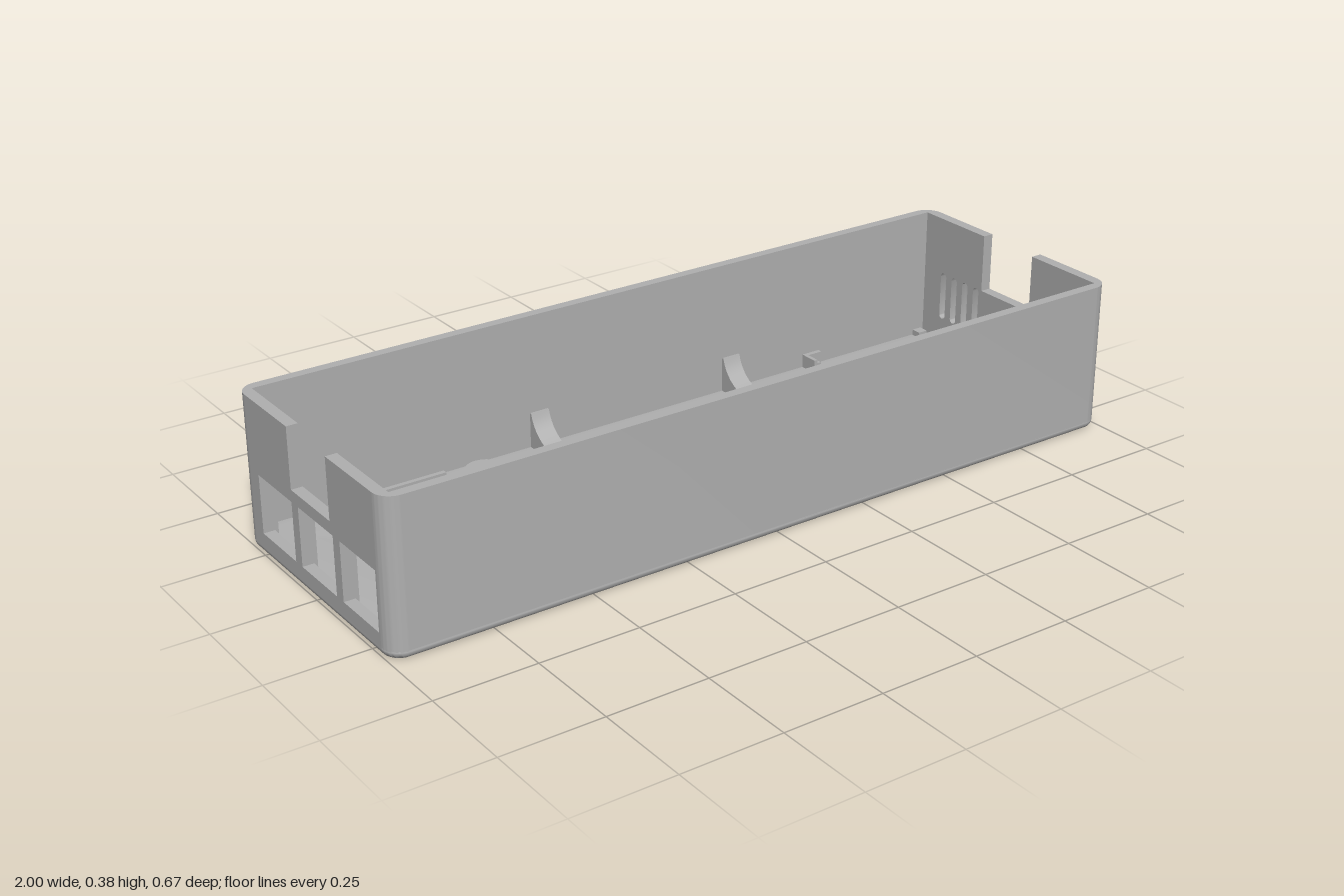
import * as THREE from 'three';
import { toCreasedNormals } from 'three/addons/utils/BufferGeometryUtils.js';

export function createModel() {
  const model = new THREE.Group();
  model.name = 'enclosureBase';
  const grey = new THREE.MeshStandardMaterial({ color: 0xb0b0b0 });
  grey.name = 'grey plastic';

  const add = (name, geometry, x = 0, y = 0, z = 0) => {
    const mesh = new THREE.Mesh(toCreasedNormals(geometry, 0.6), grey);
    mesh.name = name;
    mesh.position.set(x, y, z);
    model.add(mesh);
    return mesh;
  };
  // box given by its limits, standing on the floor
  const block = (name, x0, x1, z0, z1, top, bottom = 0.03) =>
    add(name, new THREE.BoxGeometry(x1 - x0, top - bottom, z1 - z0),
      (x0 + x1) / 2, (top + bottom) / 2, (z0 + z1) / 2);
  const circle = (x, z, r) => new THREE.Path().absarc(x, z, r, 0, Math.PI * 2, true);
  const poly = (pts, Type = THREE.Path) => new Type(pts.map(p => new THREE.Vector2(...p)));

  // floor with rounded lower edge and countersunk screw holes
  const screws = [[-0.44, -0.23], [-0.47, 0.26], [0.51, 0.01], [0.89, 0.15]];
  const X = 1, Z = 0.335, R = 0.045;
  const plan = new THREE.Shape();
  plan.absarc(X - R, Z - R, R, 0, Math.PI / 2);
  plan.absarc(-X + R, Z - R, R, Math.PI / 2, Math.PI);
  plan.absarc(-X + R, -Z + R, R, Math.PI, Math.PI * 1.5);
  plan.absarc(X - R, -Z + R, R, Math.PI * 1.5, Math.PI * 2);
  for (const [x, z] of screws) plan.holes.push(circle(x, z, 0.025));
  add('floor', new THREE.ExtrudeGeometry(plan, {
    depth: 0.004, bevelThickness: 0.018, bevelSize: 0.018, bevelOffset: -0.018,
    bevelSegments: 4, curveSegments: 10,
  }).rotateX(Math.PI / 2), 0, 0.022);

  // long walls with their rounded corners
  const side = new THREE.Shape();
  side.moveTo(0.972, 0.29);
  side.lineTo(X, 0.29);
  side.absarc(X - R, Z - R, R, 0, Math.PI / 2);
  side.absarc(-X + R, Z - R, R, Math.PI / 2, Math.PI);
  side.lineTo(-0.972, 0.29);
  side.lineTo(-0.972, 0.31);
  side.lineTo(0.972, 0.31);
  for (const name of ['frontWall', 'backWall']) {
    const wall = add(name, new THREE.ExtrudeGeometry(side, {
      depth: 0.36, bevelEnabled: false, curveSegments: 10,
    }).rotateX(Math.PI / 2), 0, 0.38);
    if (name === 'backWall') wall.rotation.y = Math.PI;
  }

  // end walls: notched panels with cut-outs, drawn in (-z, y)
  const rect = (z0, z1, y0, y1) => poly([[-z0, y0], [-z0, y1], [-z1, y1], [-z1, y0]]);
  const slot = (z, y0, y1, r) => {
    const p = new THREE.Path();
    p.absarc(-z, y1 - r, r, 0, Math.PI);
    p.absarc(-z, y0 + r, r, Math.PI, Math.PI * 2);
    p.closePath();
    return p;
  };
  const endWall = (name, x, depth, holes) => {
    const s = poly([[-0.29, 0.02], [0.29, 0.02], [0.29, 0.38], [0.088, 0.38],
      [0.088, 0.23], [-0.09, 0.23], [-0.09, 0.38], [-0.29, 0.38]], THREE.Shape);
    s.holes.push(...holes);
    add(name, new THREE.ExtrudeGeometry(s, { depth, bevelEnabled: false, curveSegments: 8 })
      .rotateY(Math.PI / 2), x);
  };
  const vents = () => [
    ...[-0.109, -0.151, -0.193, -0.235].map(z => slot(z, 0.103, 0.231, 0.0105)),
    rect(0.069, 0.098, 0.02 + 0.001, 0.079),
  ];
  endWall('leftWallOuter', 0.988, 0.012, [...vents(), slot(0.258, 0.08, 0.209, 0.0295)]);
  endWall('leftWallInner', 0.972, 0.016, [...vents(), slot(0.258, 0.088, 0.2, 0.021)]);
  endWall('rightWall', -1, 0.028, [
    rect(-0.25, -0.09, 0.055, 0.2), rect(-0.06, 0.1, 0.055, 0.2), rect(0.13, 0.285, 0.055, 0.2),
  ]);
  for (const [z0, z1] of [[-0.275, -0.25], [-0.09, -0.06], [0.1, 0.13]])
    block('portDivider', -0.98, -0.963, z0, z1, 0.2);

  // hollow screw posts
  const tube = (ro, ri, y0, y1) => new THREE.LatheGeometry(
    [[ri, y0], [ro, y0], [ro, y1], [ri, y1], [ri, y0]].map(p => new THREE.Vector2(...p)), 32);
  for (const [x, z] of screws) add('screwPost', tube(0.048, 0.021, 0.022, 0.065), x, 0, z);

  // round component holder with three pegs
  add('roundHolder', tube(0.114, 0.104, 0.03, 0.102), 0.675, 0, 0.205);
  for (const [x, z] of [[0.616, 0.175], [0.73, 0.175], [0.675, 0.272]])
    add('peg', new THREE.CylinderGeometry(0.014, 0.014, 0.02, 20), x, 0.036, z);

  // curved ribs against the back wall
  const rib = poly([[0.12, 0.03], [0.315, 0.03], [0.315, 0.13], [0.305, 0.13]], THREE.Shape);
  rib.quadraticCurveTo(0.285, 0.055, 0.17, 0.05);
  rib.lineTo(0.12, 0.05);
  for (const x of [-0.24, 0.33])
    add('backRib', new THREE.ExtrudeGeometry(rib, { depth: 0.05, bevelEnabled: false, curveSegments: 10 })
      .rotateY(Math.PI / 2), x - 0.025);

  // thin locating tabs
  for (const [x0, x1] of [[-0.3, -0.13], [0.205, 0.375]]) {
    block('middleTab', x0, x1, -0.045, -0.033, 0.08);
    block('frontTab', x0, x1, 0.303, 0.315, 0.08);
  }
  block('backTab', -0.76, -0.52, -0.285, -0.273, 0.06);
  block('crossTab', -0.39, -0.378, -0.205, -0.135, 0.06);
  block('crossTab', 0.465, 0.477, -0.255, -0.135, 0.06);

  // corner brackets for the small circuit board
  block('boardBracket', 0.563, 0.573, -0.31, -0.26, 0.075);
  block('boardBracket', 0.573, 0.615, -0.31, -0.298, 0.075);
  block('boardBracket', 0.578, 0.6, -0.298, -0.28, 0.055);
  block('boardBracket', 0.563, 0.573, 0.01, 0.06, 0.075);
  block('boardBracket', 0.573, 0.625, 0.066, 0.078, 0.075);
  block('boardBracket', 0.573, 0.6, 0.042, 0.066, 0.055);
  block('boardBracket', 0.936, 0.962, -0.308, -0.282, 0.055);
  block('boardBracket', 0.936, 0.962, 0.042, 0.066, 0.055);
  block('boardBracket', 0.92, 0.972, 0.068, 0.082, 0.075);

  // tall post and low rail beside the slot
  block('slotPost', 0.797, 0.832, 0.238, 0.26, 0.27);
  block('slotPost', 0.797, 0.81, 0.2, 0.238, 0.27);
  block('slotRail', 0.81, 0.975, 0.212, 0.232, 0.08);

  return model;
}
